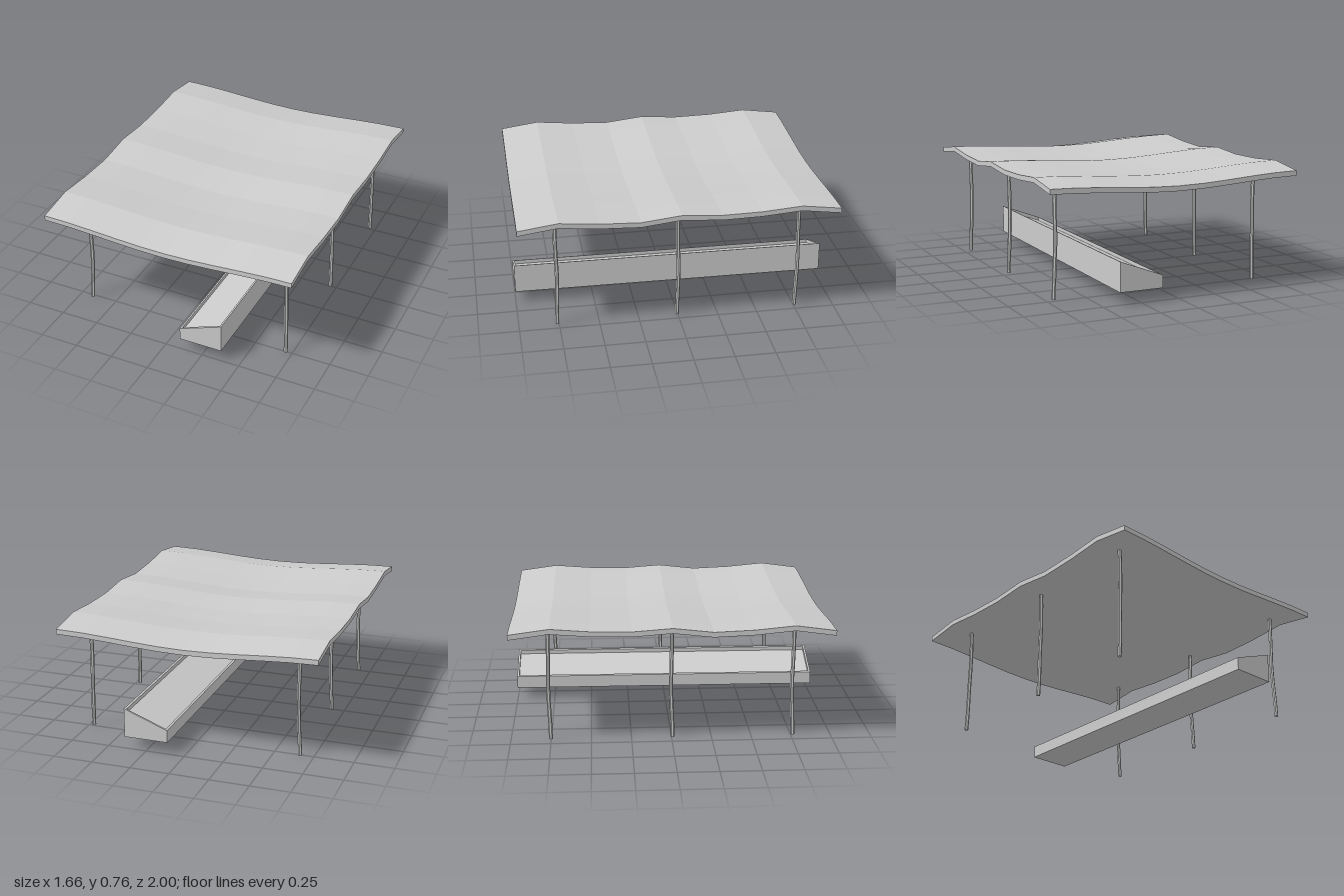
import * as THREE from 'three';

const material = new THREE.MeshStandardMaterial({ color: 0xcccccc, flatShading: true });

// Move every vertex of a geometry by a rule
function deform(geometry, rule) {
  const p = geometry.attributes.position;
  const v = new THREE.Vector3();
  for (let i = 0; i < p.count; i++) {
    v.fromBufferAttribute(p, i);
    rule(v);
    p.setXYZ(i, v.x, v.y, v.z);
  }
  geometry.computeVertexNormals();
  return geometry;
}

function addMesh(parent, name, geometry) {
  const mesh = new THREE.Mesh(geometry, material);
  mesh.name = name;
  parent.add(mesh);
  return mesh;
}

// Linear interpolation through evenly spaced values, t in 0..1
function sample(values, t) {
  const s = Math.min(Math.max(t, 0), 1) * (values.length - 1);
  const i = Math.min(Math.floor(s), values.length - 2);
  return THREE.MathUtils.lerp(values[i], values[i + 1], s - i);
}

// Roof height: ridges over the post rows, sagging across the middle
const HALF_X = 0.828, HALF_Z = 0.99, THICK = 0.032;
const ridges = [0.724, 0.757, 0.738, 0.733, 0.751, 0.723, 0.733, 0.756, 0.722];
const roofTop = (x, z) =>
  sample(ridges, (z + HALF_Z) / (2 * HALF_Z)) - 0.019 * (1 + Math.cos((Math.PI * x) / HALF_X));

// Slightly crooked post following a bend in x and z
function post(x, z, baseY, bendX, bendZ) {
  const top = roofTop(x, z) - THICK / 2;
  const geometry = new THREE.CylinderGeometry(0.0125, 0.0125, top - baseY, 6, 8);
  return deform(geometry, (v) => {
    const t = v.y / (top - baseY) + 0.5;
    v.set(v.x + x + sample(bendX, t), baseY + t * (top - baseY), v.z + z + sample(bendZ, t));
  });
}

// Sloped cross-section prism along z; inset and drop shape the inner slab
function wedge(x0, x1, y0, yLow, yHigh, z0, z1) {
  const shape = new THREE.Shape([
    new THREE.Vector2(x0, y0), new THREE.Vector2(x1, y0),
    new THREE.Vector2(x1, yHigh), new THREE.Vector2(x0, yLow),
  ]);
  const geometry = new THREE.ExtrudeGeometry(shape, { depth: z1 - z0, bevelEnabled: false });
  geometry.translate(0, 0, z0);
  return deform(geometry, (v) => { v.x -= 0.004 * v.z; });
}

export function createModel() {
  const model = new THREE.Group();
  model.name = 'canopyShelter';

  // Undulating roof slab
  const slab = new THREE.BoxGeometry(2 * HALF_X, THICK, 2 * HALF_Z, 10, 1, 8);
  addMesh(model, 'roof', deform(slab, (v) => {
    v.y += roofTop(v.x, v.z) - THICK / 2;
  }));

  // Two rows of three posts
  const posts = new THREE.Group();
  posts.name = 'posts';
  model.add(posts);
  const bendZ = [0.006, 0.003, -0.003, -0.004, 0, 0.001, 0];
  for (const z of [0.758, 0.002, -0.758]) {
    addMesh(posts, 'rightPost', post(-0.658, z, 0, [-0.006, 0.001, 0.005, 0.007, 0.007, 0.004, 0], bendZ));
    addMesh(posts, 'leftPost', post(0.706, z, 0.012, [0.006, 0.004, 0, -0.003, -0.004, -0.002, 0], bendZ));
  }

  // Long planter with a sloping rim
  const planter = new THREE.Group();
  planter.name = 'planter';
  model.add(planter);
  const X0 = 0.104, X1 = 0.386, Y0 = 0.076, RIM = 0.013, END = 1;
  const slope = (x) => 0.156 + ((x - X0) / (X1 - X0)) * 0.107;
  const part = (name, x0, x1, drop, z0, z1) =>
    addMesh(planter, name, wedge(x0, x1, Y0, slope(x0) - drop, slope(x1) - drop, z0, z1));
  part('lowWall', X0, X0 + RIM, 0, -END, END);
  part('highWall', X1 - RIM, X1, 0, -END, END);
  part('frontWall', X0 + RIM, X1 - RIM, 0, END - RIM, END);
  part('backWall', X0 + RIM, X1 - RIM, 0, -END, -END + RIM);
  part('plantingBed', X0 + RIM, X1 - RIM, 0.025, -END + RIM, END - RIM);

  return model;
}
